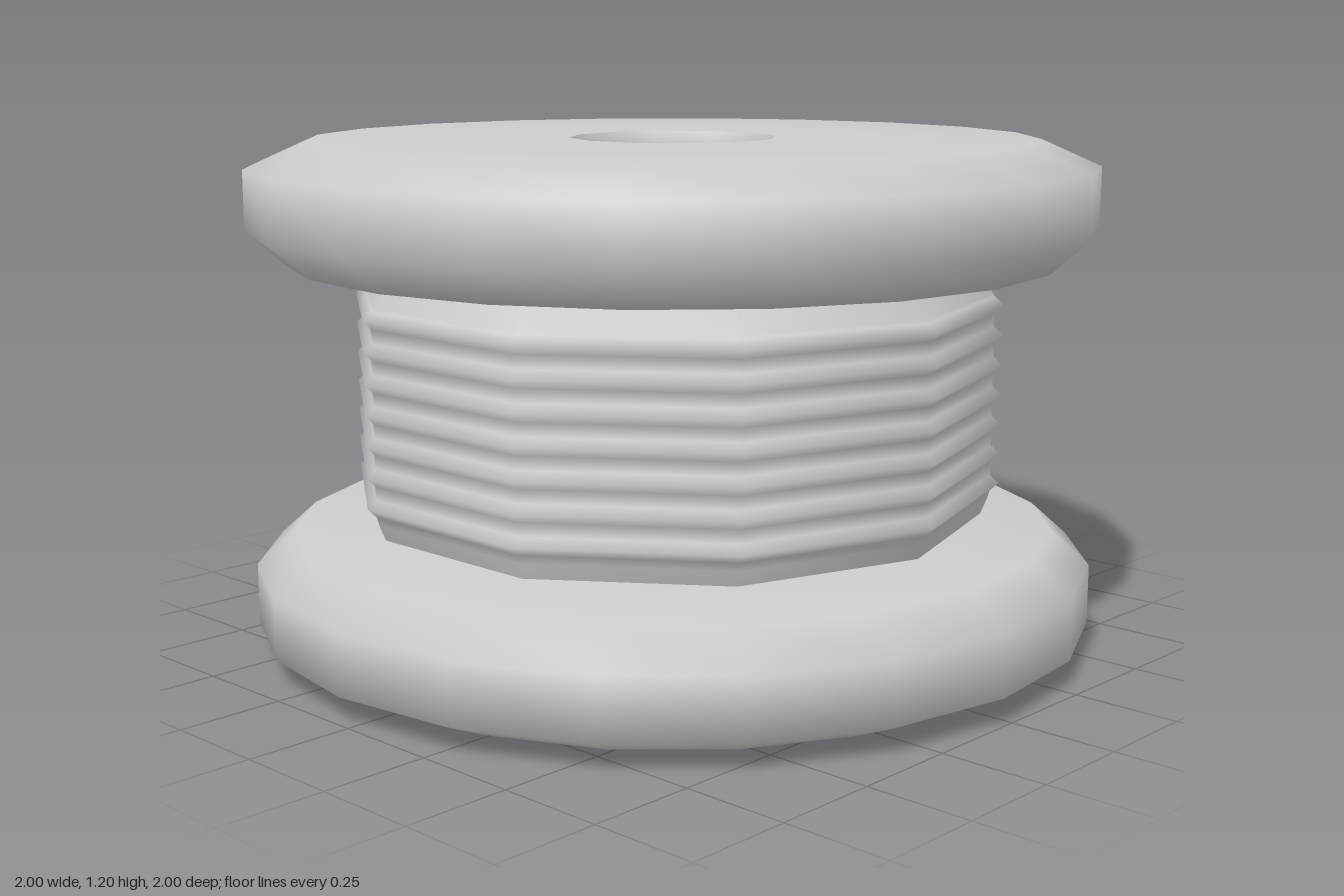
import * as THREE from 'three';

const MID = 0.602; // half of the total height
const grey = new THREE.MeshStandardMaterial({ color: 0xcccccc });
grey.name = 'light grey';

// Lathe mesh from [radius, y] pairs
function lathe(name, points, sides, phi = 0) {
  const profile = points.map(([r, y]) => new THREE.Vector2(r, y));
  const mesh = new THREE.Mesh(new THREE.LatheGeometry(profile, sides, phi), grey);
  mesh.name = name;
  return mesh;
}

// Polygon corners matching the lathe's vertex positions
function corners(radius, sides, phi) {
  return Array.from({ length: sides }, (_, i) => {
    const a = phi + (i / sides) * Math.PI * 2;
    return new THREE.Vector2(Math.sin(a) * radius, -Math.cos(a) * radius);
  });
}

// Rounded 20-sided disc with a 12-sided bore, facing up
function makeFlange(name) {
  const flange = new THREE.Group();
  flange.name = name;
  const rimPhi = 0.03, borePhi = -0.12;

  flange.add(lathe('flangeRim', [
    [0.22, 0.303], [0.58, 0.303], [0.91, 0.32], [1, 0.4],
    [1, 0.54], [0.86, MID], [0.5, MID],
  ], 20, rimPhi));

  // Flat face between the rim and the bore
  const face = new THREE.Shape(corners(0.5, 20, rimPhi));
  face.holes.push(new THREE.Path(corners(0.245, 12, borePhi)));
  const faceGeometry = new THREE.ShapeGeometry(face);
  faceGeometry.rotateX(-Math.PI / 2);
  faceGeometry.translate(0, MID, 0);
  const faceMesh = new THREE.Mesh(faceGeometry, grey);
  faceMesh.name = 'flangeFace';
  flange.add(faceMesh);

  // Bore with a small chamfer
  flange.add(lathe('bore', [[0.245, MID], [0.223, 0.56], [0.223, 0.3]], 12, borePhi));
  return flange;
}

// Ten-sided ribbed core, closed at both ends
function makeDrum() {
  const drum = new THREE.Group();
  drum.name = 'drum';
  const bottom = 0.313 - MID, top = 0.901 - MID;
  const profile = [[0.742, bottom], [0.757, 0.35 - MID]];
  for (let i = 0; i < 7; i++) {
    const y = 0.389 + i * 0.0715 - MID;
    profile.push([0.762, y - 0.02], [0.783, y], [0.762, y + 0.02]);
  }
  profile.push([0.757, 0.845 - MID], [0.725, top]);
  drum.add(lathe('ribbedWall', profile, 10));
  drum.add(lathe('drumTop', [[0.725, top], [0, top]], 10));
  drum.add(lathe('drumBottom', [[0, bottom], [0.742, bottom]], 10));
  return drum;
}

export function createModel() {
  const model = new THREE.Group();
  model.name = 'spool';

  const topFlange = makeFlange('topFlange');
  const bottomFlange = makeFlange('bottomFlange');
  bottomFlange.rotation.z = Math.PI;

  for (const part of [topFlange, bottomFlange, makeDrum()]) {
    part.position.y = MID;
    model.add(part);
  }
  return model;
}
